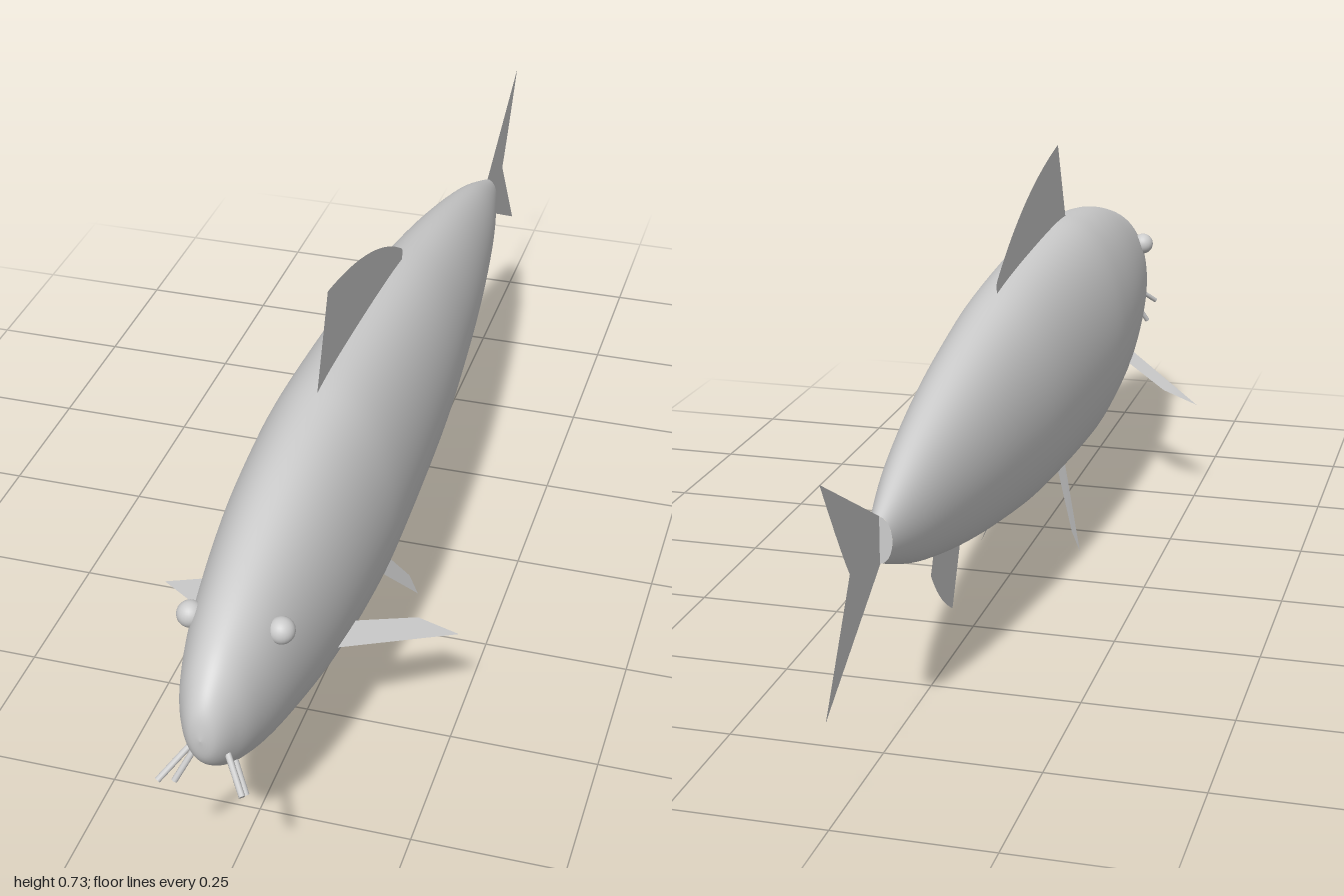
import * as THREE from 'three';

const grey = new THREE.MeshStandardMaterial({ color: 0xcccccc });
grey.name = 'grey';
const greyFin = new THREE.MeshStandardMaterial({ color: 0xcccccc, side: THREE.DoubleSide });
greyFin.name = 'grey fin';

export function createModel() {
  const group = new THREE.Group();
  const add = (name, geometry, material = grey) => {
    const mesh = new THREE.Mesh(geometry, material);
    mesh.name = name;
    group.add(mesh);
    return mesh;
  };
  const axisY = 0.345, slim = 0.54;

  // Body: a lathed profile [half height, z], narrowed sideways, belly line slightly raised
  const profile = [
    [0.037, -0.75], [0.095, -0.6], [0.147, -0.4], [0.184, -0.2], [0.211, 0], [0.229, 0.3],
    [0.225, 0.45], [0.203, 0.62], [0.157, 0.8], [0.115, 0.9], [0.078, 0.95], [0.042, 0.977], [0, 0.985],
  ].map(([r, z]) => new THREE.Vector2(r, z));
  const points = new THREE.SplineCurve(profile).getPoints(72);
  points.forEach((p) => { p.x = Math.max(p.x, 0); });
  const body = new THREE.LatheGeometry(points, 64).rotateX(Math.PI / 2);
  const pos = body.attributes.position;
  for (let i = 0; i < pos.count; i++) {
    const r = Math.hypot(pos.getX(i), pos.getY(i));
    pos.setY(i, pos.getY(i) + axisY + r * 0.04);
  }
  body.scale(slim, 1, 1);
  add('body', body);
  add('tailStump', new THREE.CircleGeometry(0.037, 32).rotateY(Math.PI)
    .scale(slim, 1, 1).translate(0, axisY + 0.0015, -0.75));

  // Flat fins on the centre plane, drawn as (z, y) outlines
  const centreFin = (name, draw) => {
    const shape = new THREE.Shape();
    draw(shape);
    add(name, new THREE.ShapeGeometry(shape, 16).rotateY(-Math.PI / 2), greyFin);
  };
  centreFin('dorsalFin', (s) => {
    s.moveTo(0.42, 0.55);
    s.lineTo(0.41, 0.585);
    s.lineTo(0.347, 0.733);
    s.quadraticCurveTo(0.09, 0.695, -0.09, 0.575);
    s.quadraticCurveTo(-0.1, 0.56, -0.07, 0.53);
  });
  centreFin('tailFin', (s) => {
    s.moveTo(-0.745, 0.382);
    s.lineTo(-1, 0.52);
    s.quadraticCurveTo(-0.92, 0.39, -0.885, 0.345);
    s.quadraticCurveTo(-0.92, 0.29, -1, 0.167);
    s.lineTo(-0.745, 0.31);
  });
  centreFin('analFin', (s) => {
    s.moveTo(-0.31, 0.22);
    s.lineTo(-0.375, 0.085);
    s.quadraticCurveTo(-0.45, 0.125, -0.495, 0.19);
    s.lineTo(-0.465, 0.25);
  });

  // Paired flat fin from four corners
  const quad = (corners, side) => {
    const g = new THREE.BufferGeometry();
    g.setAttribute('position', new THREE.Float32BufferAttribute(
      corners.flatMap(([x, y, z]) => [x * side, y, z]), 3));
    g.setIndex(side > 0 ? [0, 1, 2, 0, 2, 3] : [0, 2, 1, 0, 3, 2]);
    g.computeVertexNormals();
    return g;
  };
  // Whisker rod between two points
  const rod = (a, b) => new THREE.TubeGeometry(new THREE.LineCurve3(a, b), 1, 0.005, 10);

  for (const side of [1, -1]) {
    const label = side > 0 ? 'left' : 'right';
    add(label + 'PectoralFin', quad([
      [0.09, 0.257, 0.63], [0.255, 0.2, 0.475], [0.187, 0.224, 0.48], [0.09, 0.257, 0.56],
    ], side), greyFin);
    add(label + 'PelvicFin', quad([
      [0.028, 0.16, 0.28], [0.097, 0, 0.144], [0.081, 0.038, 0.144], [0.028, 0.16, 0.22],
    ], side), greyFin);
    add(label + 'Eye', new THREE.SphereGeometry(0.021, 24, 16).translate(side * 0.071, 0.437, 0.82));

    // Two whiskers at each side of the mouth, with closed tips
    const whiskers = [
      [[0.03, 0.304, 0.955], [0.065, 0.267, 0.998]],
      [[0.033, 0.276, 0.935], [0.056, 0.232, 0.957]],
    ];
    whiskers.forEach(([a, b], i) => {
      const start = new THREE.Vector3(side * a[0], a[1], a[2]);
      const end = new THREE.Vector3(side * b[0], b[1], b[2]);
      const name = label + (i ? 'LowerWhisker' : 'UpperWhisker');
      add(name, rod(start, end));
      add(name + 'Tip', new THREE.CircleGeometry(0.005, 10)).position.copy(end);
      group.children.at(-1).lookAt(end.clone().multiplyScalar(2).sub(start));
    });
  }
  return group;
}
